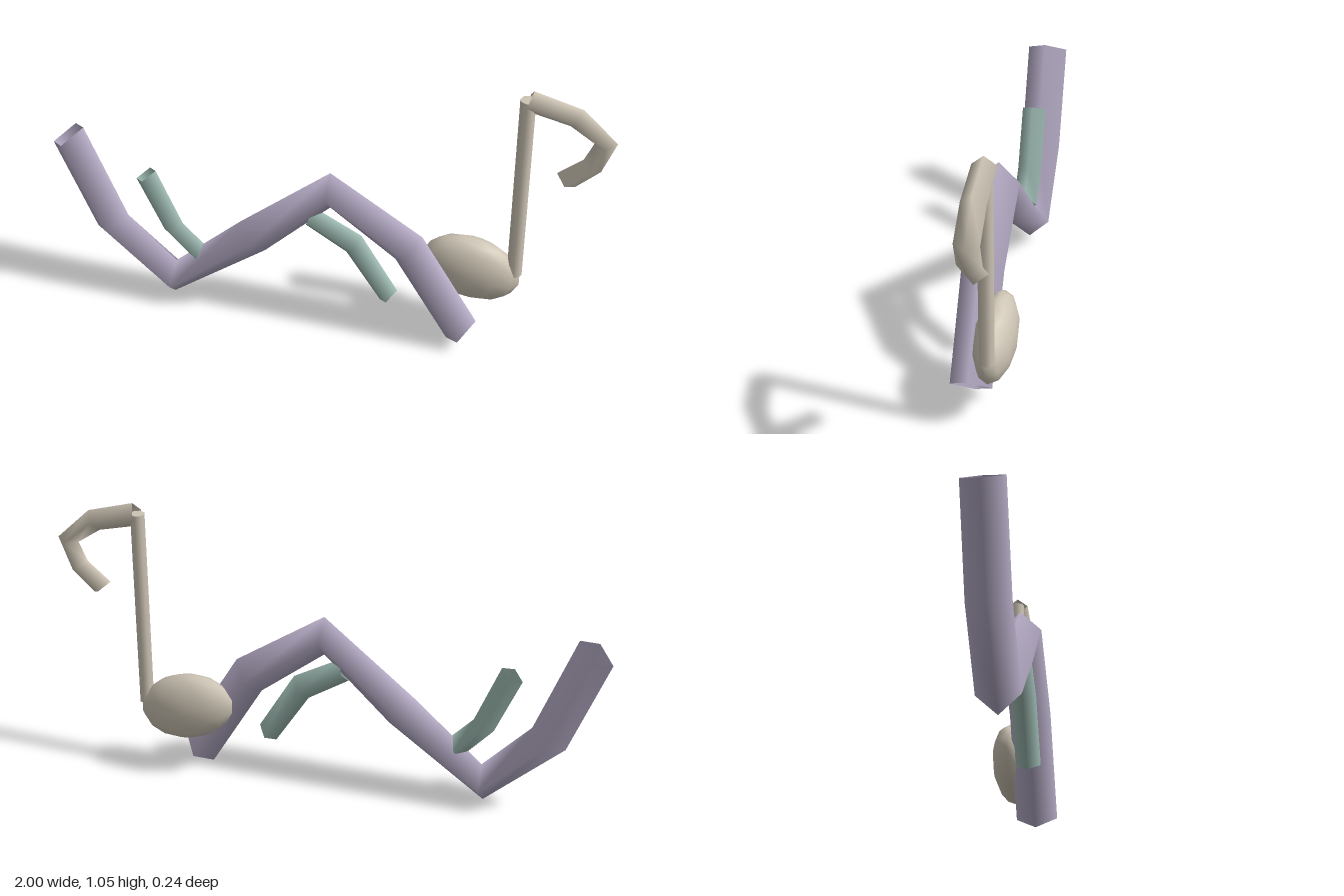
import * as THREE from 'three';

const mat = (name, color) =>
  new THREE.MeshStandardMaterial({ name, color, side: THREE.DoubleSide });

// Open four-sided tube lying in the xy plane. Each ring gives its left edge
// (as seen along the path) and right edge: [ax, ay, bx, by]; r is half the depth.
function diamondTube(rings, r, z) {
  const pos = [], nor = [], idx = [];
  for (const [ax, ay, bx, by] of rings) {
    const cx = (ax + bx) / 2, cy = (ay + by) / 2;
    const len = Math.hypot(ax - bx, ay - by);
    const nx = (ax - bx) / len, ny = (ay - by) / len;
    pos.push(ax, ay, z, cx, cy, z + r, bx, by, z, cx, cy, z - r);
    nor.push(nx, ny, 0, 0, 0, 1, -nx, -ny, 0, 0, 0, -1);
  }
  for (let i = 0; i < rings.length - 1; i++) {
    for (let j = 0; j < 4; j++) {
      const a = i * 4 + j, b = i * 4 + (j + 1) % 4;
      idx.push(a, b, a + 4, b, b + 4, a + 4);
    }
  }
  const g = new THREE.BufferGeometry();
  g.setAttribute('position', new THREE.Float32BufferAttribute(pos, 3));
  g.setAttribute('normal', new THREE.Float32BufferAttribute(nor, 3));
  g.setIndex(idx);
  return g;
}

export function createModel() {
  const group = new THREE.Group();
  const lilac = mat('lilac', 0xb4aac4);
  const sage = mat('sage', 0x9cb8b0);
  const sand = mat('sand', 0xcdc4b4);

  const add = (name, geometry, material) => {
    const mesh = new THREE.Mesh(geometry, material);
    mesh.name = name;
    group.add(mesh);
    return mesh;
  };

  // Large zigzag wave
  add('mainWave', diamondTube([
    [-0.88, 0.71, -1.0, 0.63],
    [-0.735, 0.345, -0.858, 0.275],
    [-0.56, 0.165, -0.57, 0.02],
    [-0.305, 0.395, -0.215, 0.28],
    [0.03, 0.67, 0.03, 0.52],
    [0.365, 0.45, 0.27, 0.335],
    [0.573, 0.105, 0.468, 0.005],
  ], 0.075, 0.045), lilac);

  // Two small accent strokes
  add('leftStroke', diamondTube([
    [-0.617, 0.565, -0.692, 0.52],
    [-0.525, 0.345, -0.598, 0.307],
    [-0.45, 0.267, -0.48, 0.18],
  ], 0.045, 0.045), sage);
  add('rightStroke', diamondTube([
    [-0.03, 0.51, -0.06, 0.427],
    [0.145, 0.415, 0.09, 0.333],
    [0.28, 0.19, 0.217, 0.136],
  ], 0.045, 0.045), sage);

  // Music note: tilted oval head, upright stem, curled flag
  const head = add('noteHead', new THREE.SphereGeometry(1, 12, 8), sand);
  head.scale.set(0.183, 0.127, 0.073);
  head.rotation.z = -0.27;
  head.position.set(0.53, 0.278, -0.047);

  const stem = add('noteStem', new THREE.CylinderGeometry(0.027, 0.027, 0.745, 8), sand);
  stem.position.set(0.687, 0.65, -0.047);

  add('noteFlag', diamondTube([
    [0.705, 1.06, 0.675, 0.98],
    [0.874, 1.013, 0.835, 0.942],
    [0.998, 0.896, 0.92, 0.885],
    [0.952, 0.773, 0.89, 0.815],
    [0.87, 0.695, 0.805, 0.743],
  ], 0.042, -0.047), sand);

  return group;
}
